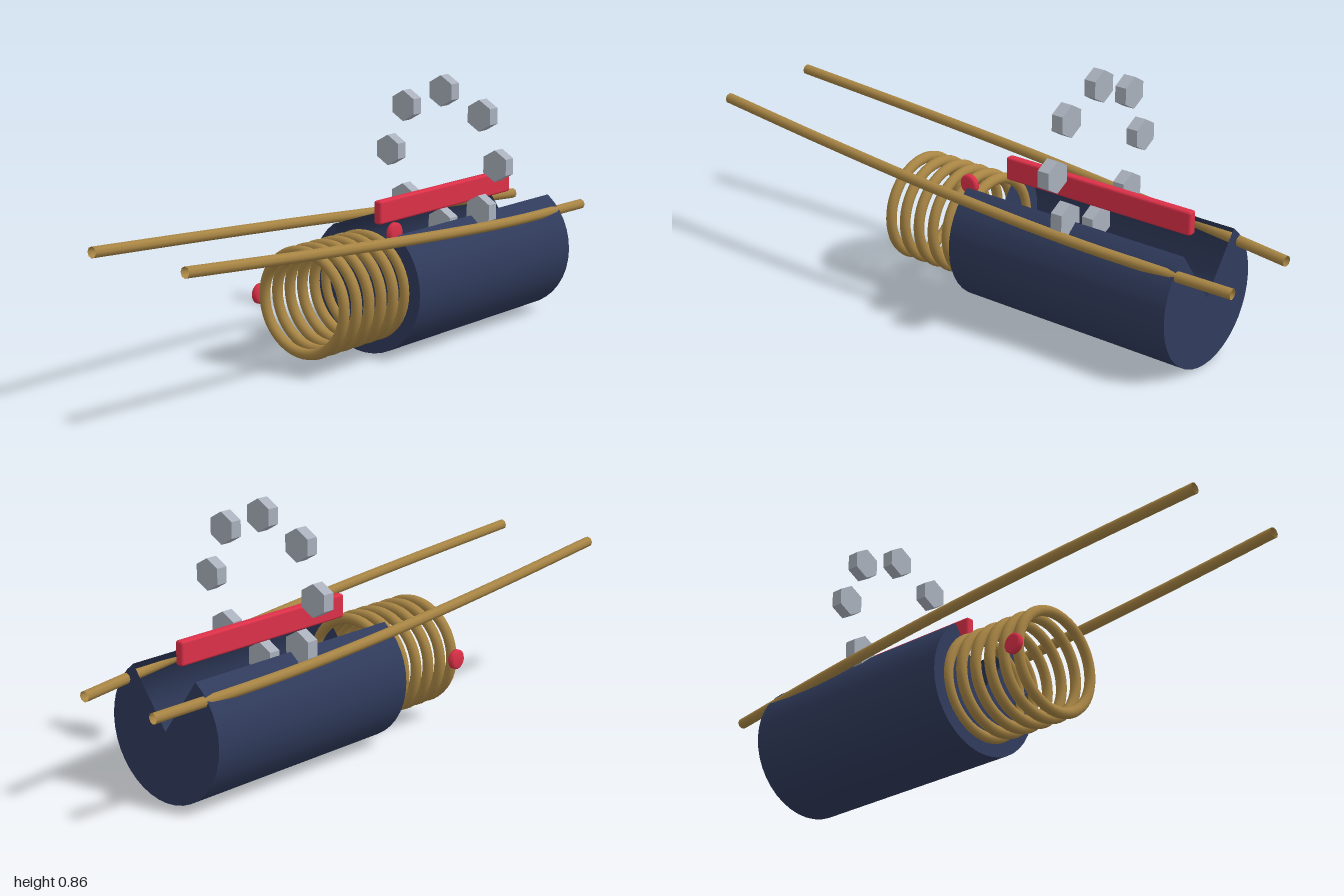
import * as THREE from 'three';
import { RoundedBoxGeometry } from 'three/addons/geometries/RoundedBoxGeometry.js';

const material = (color, extra = {}) => new THREE.MeshStandardMaterial({ color, ...extra });

export function createModel() {
  const model = new THREE.Group();
  const navy = material(0x303b5c, { side: THREE.DoubleSide });
  const brass = material(0xa88544, { side: THREE.DoubleSide });
  const red = material(0xdc3048);
  const steel = material(0xa9b0bc, { flatShading: true });

  const add = (name, geometry, mat, x = 0, y = 0, z = 0) => {
    const mesh = new THREE.Mesh(geometry, mat);
    mesh.name = name;
    mesh.position.set(x, y, z);
    model.add(mesh);
    return mesh;
  };

  // Drum with a 72 degree wedge left open along the top
  const axisY = 0.224;
  const drum = new THREE.CylinderGeometry(0.224, 0.224, 0.82, 32, 1, false, Math.PI * 1.2, Math.PI * 1.6);
  drum.rotateX(Math.PI / 2);
  add('drum', drum, navy, 0, axisY, -0.41);

  // Row of separate coil rings in front of the drum
  const ring = new THREE.TorusGeometry(0.1635, 0.0175, 12, 48);
  for (let i = 0; i < 6; i++) add('coilRing', ring, brass, 0, axisY, i * 0.059);

  // Two long bowed rods, mirrored
  for (const side of [1, -1]) {
    const path = new THREE.CatmullRomCurve3([
      new THREE.Vector3(0.187 * side, 0.485, 1),
      new THREE.Vector3(0.206 * side, 0.445, 0.5),
      new THREE.Vector3(0.212 * side, 0.406, 0),
      new THREE.Vector3(0.193 * side, 0.37, -0.5),
      new THREE.Vector3(0.145 * side, 0.344, -1),
    ]);
    add(side > 0 ? 'leftRod' : 'rightRod', new THREE.TubeGeometry(path, 40, 0.0175, 8), brass);
  }

  // Ring of floating hexagonal nuts
  const nut = new THREE.CylinderGeometry(0.052, 0.052, 0.04, 6);
  nut.rotateX(Math.PI / 2);
  for (let i = 0; i < 8; i++) {
    const a = (i * Math.PI) / 4;
    add('hexNut', nut, steel, 0.223 * Math.sin(a), 0.58 + 0.223 * Math.cos(a), -0.405);
  }

  // Red bar above the wedge
  add('topBar', new RoundedBoxGeometry(0.03, 0.077, 0.7, 2, 0.008), red, 0, 0.449, -0.41);

  // Small chamfered buttons at both ends of the coil
  const profile = [[0, -0.0125], [0.025, -0.0125], [0.0325, -0.006], [0.0325, 0.006], [0.025, 0.0125], [0, 0.0125]];
  const button = new THREE.LatheGeometry(profile.map(([r, h]) => new THREE.Vector2(r, h)), 20);
  button.rotateZ(Math.PI / 2);
  add('frontButton', button, red, -0.183, 0.224, 0.295);
  add('rearButton', button, red, 0.12, 0.413, 0);

  return model;
}
